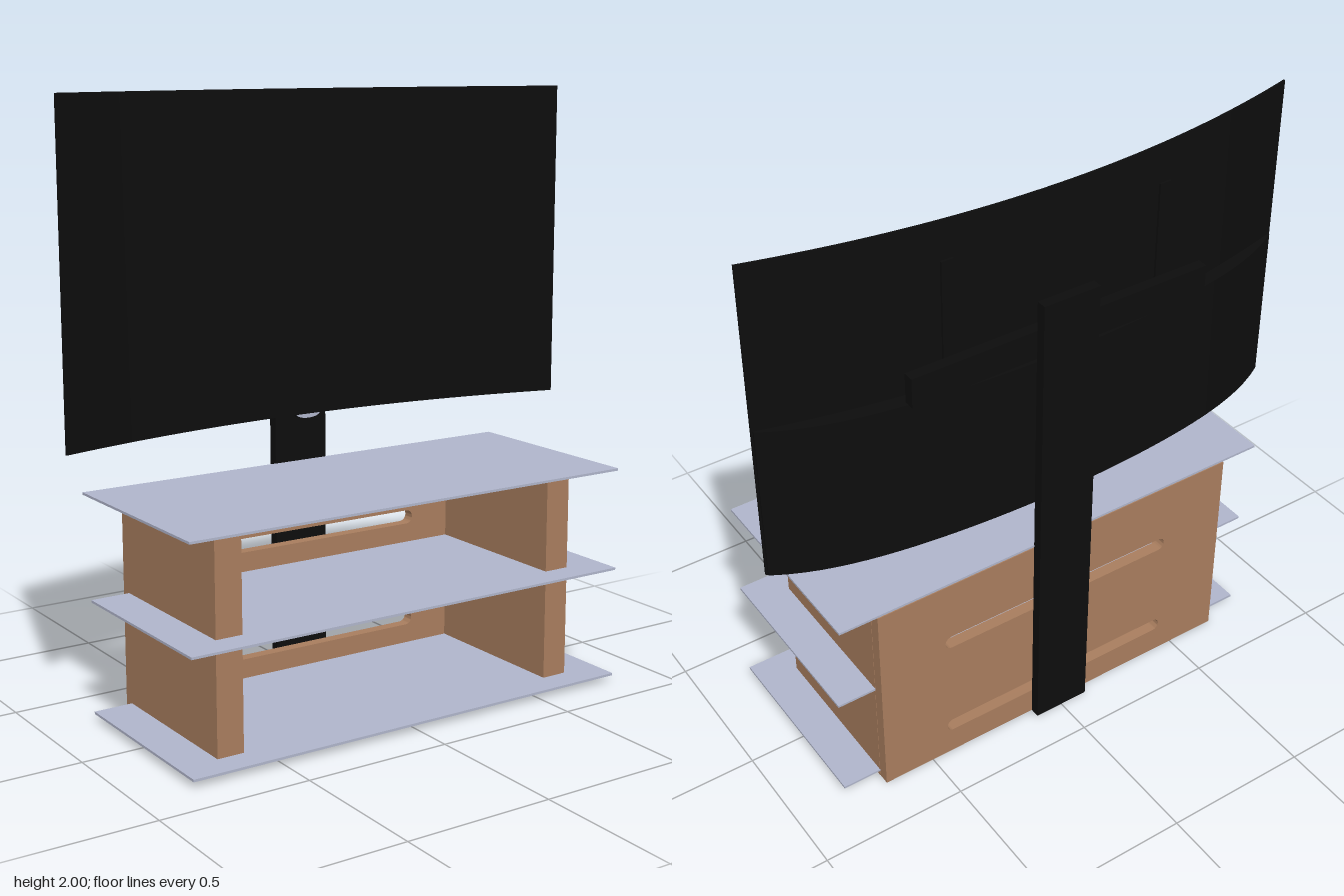
import * as THREE from 'three';
import { toCreasedNormals } from 'three/addons/utils/BufferGeometryUtils.js';

const material = (name, color) => {
  const m = new THREE.MeshStandardMaterial({ color });
  m.name = name;
  return m;
};

export function createModel() {
  const wood = material('wood', 0xa87d5e);
  const glass = material('glass', 0xb0b5cb);
  const black = material('black', 0x0d0d0d);
  const model = new THREE.Group();
  model.name = 'televisionStand';

  const add = (name, geometry, mat) => {
    const mesh = new THREE.Mesh(geometry, mat);
    mesh.name = name;
    model.add(mesh);
    return mesh;
  };
  // Box given by its limits on each axis
  const box = (name, mat, x0, x1, y0, y1, z0, z1) =>
    add(name, new THREE.BoxGeometry(x1 - x0, y1 - y0, z1 - z0), mat)
      .position.set((x0 + x1) / 2, (y0 + y1) / 2, (z0 + z1) / 2);

  // Back panel with two rounded cable slots
  const panel = new THREE.Shape([
    new THREE.Vector2(-0.68, 0), new THREE.Vector2(0.68, 0),
    new THREE.Vector2(0.68, 0.735), new THREE.Vector2(-0.68, 0.735),
  ]);
  for (const y of [0.12, 0.495]) {
    const r = 0.024, x = 0.416;
    const slot = new THREE.Path();
    slot.absarc(x, y, r, Math.PI / 2, -Math.PI / 2, true);
    slot.absarc(-x, y, r, -Math.PI / 2, -Math.PI * 1.5, true);
    slot.closePath();
    panel.holes.push(slot);
  }
  const panelGeometry = new THREE.ExtrudeGeometry(panel, { depth: 0.04, bevelEnabled: false, curveSegments: 10 });
  add('backPanel', toCreasedNormals(panelGeometry, 0.6), wood).position.z = -0.333;

  // Side walls, with small pads that carry the top shelf
  for (const [side, s] of [['left', 1], ['right', -1]]) {
    const x = s * 0.635;
    box(side + 'Wall', wood, x - 0.046, x + 0.046, 0, 0.735, -0.293, 0.27);
    for (const z of [0.22, -0.3])
      box(side + 'Pad', black, x - 0.018, x + 0.018, 0.735, 0.741, z - 0.018, z + 0.018);
  }

  // Shelves: the lower two stop at the back panel
  box('topShelf', glass, -0.815, 0.815, 0.741, 0.749, -0.335, 0.365);
  box('middleShelf', glass, -0.815, 0.815, 0.396, 0.404, -0.294, 0.365);
  box('bottomShelf', glass, -0.815, 0.815, 0.021, 0.029, -0.294, 0.365);

  // Post and wall-mount style bracket
  box('post', black, -0.1, 0.1, 0, 1.67, -0.367, -0.333);
  box('mountBar', black, -0.53, 0.53, 1.47, 1.57, -0.334, -0.298);
  for (const x of [-0.38, 0.38])
    box('mountArm', black, x - 0.02, x + 0.02, 1.457, 1.89, -0.298, -0.291);

  // Curved slab between two z curves over x, extruded upwards
  const front = (x) => -0.28 + 0.144 * x * x;
  const curvedSlab = (name, zFront, zBack, y0, y1, half) => {
    const points = [], n = 40;
    for (let i = 0; i <= n; i++) {
      const x = -half + (2 * half * i) / n;
      points.push(new THREE.Vector2(x, -zFront(x)));
    }
    for (let i = n; i >= 0; i--) {
      const x = -half + (2 * half * i) / n;
      points.push(new THREE.Vector2(x, -zBack(x)));
    }
    const g = new THREE.ExtrudeGeometry(new THREE.Shape(points), { depth: y1 - y0, bevelEnabled: false });
    g.rotateX(-Math.PI / 2);
    add(name, toCreasedNormals(g, 0.5), black).position.y = y0;
  };
  curvedSlab('screen', front, (x) => front(x) - 0.007, 0.92, 2, 0.95);
  curvedSlab('screenHousing', (x) => front(x) - 0.005,
    (x) => -0.33 + 0.12 * x * x + 0.083 * x ** 6, 0.921, 1.455, 0.945);

  // Half-round sensor below the screen, with a pale face
  const halfRound = (rx, ry) => {
    const s = new THREE.Shape();
    s.absellipse(0, 0, rx, ry, Math.PI, Math.PI * 2, false);
    s.closePath();
    return s;
  };
  add('sensor', new THREE.ExtrudeGeometry(halfRound(0.05, 0.018), { depth: 0.014, bevelEnabled: false }), black)
    .position.set(0, 0.921, -0.3);
  add('sensorFace', new THREE.ExtrudeGeometry(halfRound(0.046, 0.016), { depth: 0.003, bevelEnabled: false }), glass)
    .position.set(0, 0.921, -0.286);

  return model;
}
